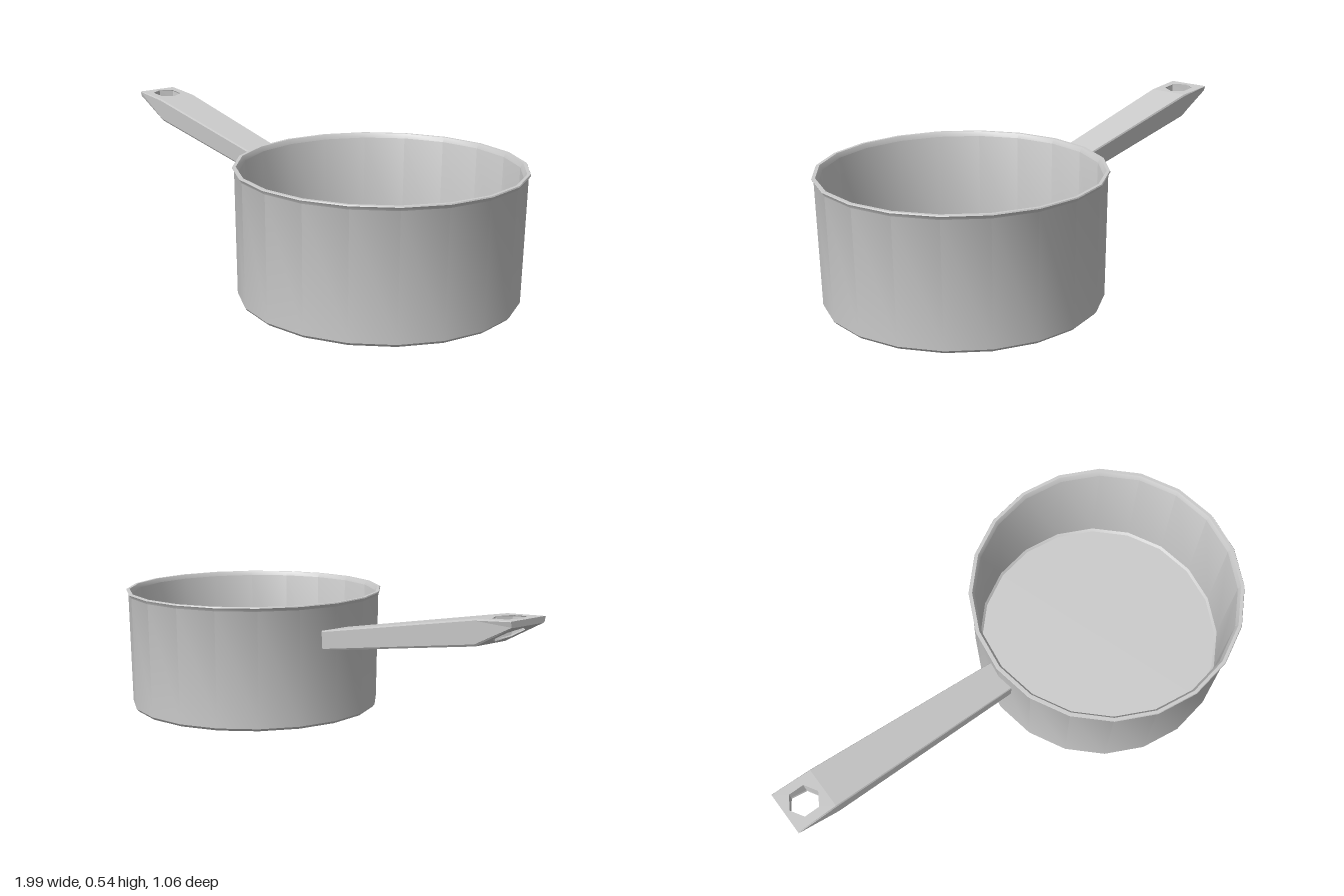
import * as THREE from 'three';
import { toCreasedNormals } from 'three/addons/utils/BufferGeometryUtils.js';

const v2 = (x, y) => new THREE.Vector2(x, y);
const lerp = THREE.MathUtils.lerp;

// A length of handle. Each end is { x, bottom, top, half } (half = half width).
function handlePiece(a, b, hole) {
  const shape = new THREE.Shape([v2(a.x, -a.half), v2(b.x, -b.half), v2(b.x, b.half), v2(a.x, a.half)]);
  if (hole) shape.holes.push(new THREE.Path(hole));
  const geo = new THREE.ExtrudeGeometry(shape, { depth: 1, steps: 3, bevelEnabled: false });
  geo.rotateX(-Math.PI / 2);

  // Fit the slab between the sloping bottom and top, with softened long edges
  const level = [0, 0.08, 0.93, 1];
  const width = [0.88, 0.94, 1, 0.96];
  const p = geo.attributes.position;
  for (let i = 0; i < p.count; i++) {
    const step = Math.round(p.getY(i) * 3);
    const t = (p.getX(i) - a.x) / (b.x - a.x);
    p.setY(i, lerp(lerp(a.bottom, b.bottom, t), lerp(a.top, b.top, t), level[step]));
    p.setZ(i, p.getZ(i) * width[step]);
  }
  geo.computeVertexNormals();
  return geo;
}

export function createModel() {
  const model = new THREE.Group();
  model.name = 'saucepan';
  const material = new THREE.MeshStandardMaterial({ color: 0xcccccc });
  const add = (name, geometry, parent) => {
    const mesh = new THREE.Mesh(geometry, material);
    mesh.name = name;
    parent.add(mesh);
    return mesh;
  };

  // Pan: outer wall, flared rim, inner wall and floor in one closed profile
  const profile = [
    v2(0, 0), v2(0.507, 0), v2(0.515, 0.01), v2(0.522, 0.467), v2(0.53, 0.48), v2(0.528, 0.484),
    v2(0.516, 0.484), v2(0.506, 0.467), v2(0.497, 0.03), v2(0.488, 0.02), v2(0, 0.02),
  ];
  const pan = add('pan', toCreasedNormals(new THREE.LatheGeometry(profile, 20), 0.55), model);
  pan.position.x = 0.465;

  // Handle: long shaft and a tapered tip with a six-sided hanging hole
  const handle = new THREE.Group();
  handle.name = 'handle';
  model.add(handle);
  const end = { x: -1, bottom: 0.522, top: 0.544, half: 0.087 };
  const bend = { x: -0.84, bottom: 0.438, top: 0.533, half: 0.085 };
  const root = { x: -0.042, bottom: 0.3, top: 0.378, half: 0.066 };
  const hole = [];
  for (let i = 0; i < 6; i++) {
    const a = -i * Math.PI / 3;
    hole.push(v2(-0.92 + 0.06 * Math.cos(a), 0.06 * Math.sin(a)));
  }
  add('handleTip', handlePiece(end, bend, hole), handle);
  add('handleShaft', handlePiece(bend, root), handle);

  return model;
}
